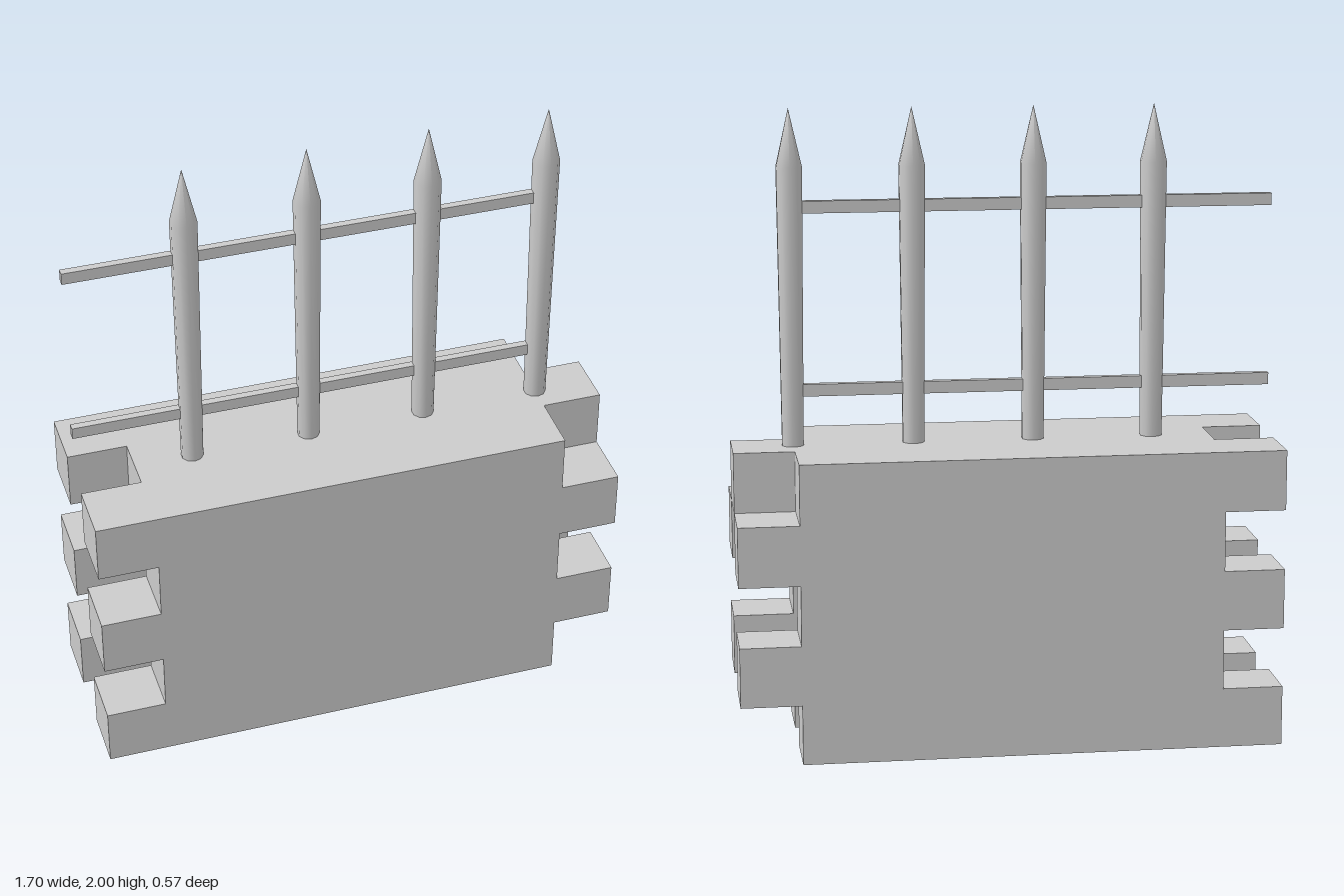
import * as THREE from 'three';

const ROW = 0.19, ROWS = 5;          // brick courses
const OUT = 0.85, IN = 0.66;         // long and short course ends
const material = new THREE.MeshStandardMaterial({ color: 0xcccccc });

function addMesh(parent, name, geometry, x = 0, y = 0, z = 0) {
  const mesh = new THREE.Mesh(geometry, material);
  mesh.name = name;
  mesh.position.set(x, y, z);
  parent.add(mesh);
  return mesh;
}

// Toothed wall outline: odd courses shift right, even courses shift left
function wallShape() {
  const right = [], left = [];
  for (let i = 0; i < ROWS; i++) {
    const odd = i % 2 === 1;
    for (const y of [i * ROW, (i + 1) * ROW]) {
      right.push(new THREE.Vector2(odd ? OUT : IN, y));
      left.push(new THREE.Vector2(odd ? -IN : -OUT, y));
    }
  }
  return new THREE.Shape([...right, ...left.reverse()]);
}

// Slightly flared post with a pointed tip
function spikeGeometry() {
  const shaft = [[0, 0], [0.035, 0], [0.042, 0.87], [0, 1.05]];
  const sides = 10;
  return new THREE.LatheGeometry(shaft.map(([r, y]) => new THREE.Vector2(r, y)), sides);
}

export function createModel() {
  const model = new THREE.Group();
  model.name = 'fenceWall';

  // Two outer walls with an open channel between them
  const wall = new THREE.ExtrudeGeometry(wallShape(), { depth: 0.19, bevelEnabled: false });
  addMesh(model, 'frontWall', wall, 0, 0, 0.093);
  addMesh(model, 'backWall', wall, 0, 0, -0.285);

  // Middle row bridging the walls at the top, offset to the right
  addMesh(model, 'topBridge', new THREE.BoxGeometry(OUT + IN, ROW, 0.188),
    (OUT - IN) / 2, ROW * (ROWS - 0.5), -0.001);

  // Spiked posts
  const spike = spikeGeometry();
  for (let i = 0; i < 4; i++) {
    addMesh(model, 'spike' + (i + 1), spike, -0.475 + i * 0.378, 0.95, 0.006);
  }

  // Horizontal rails, ending inside the last post
  const rail = new THREE.BoxGeometry(OUT + IN, 0.038, 0.024);
  addMesh(model, 'lowerRail', rail, (IN - OUT) / 2, 1.124, 0.004);
  addMesh(model, 'upperRail', rail, (IN - OUT) / 2, 1.696, 0.004);

  return model;
}
